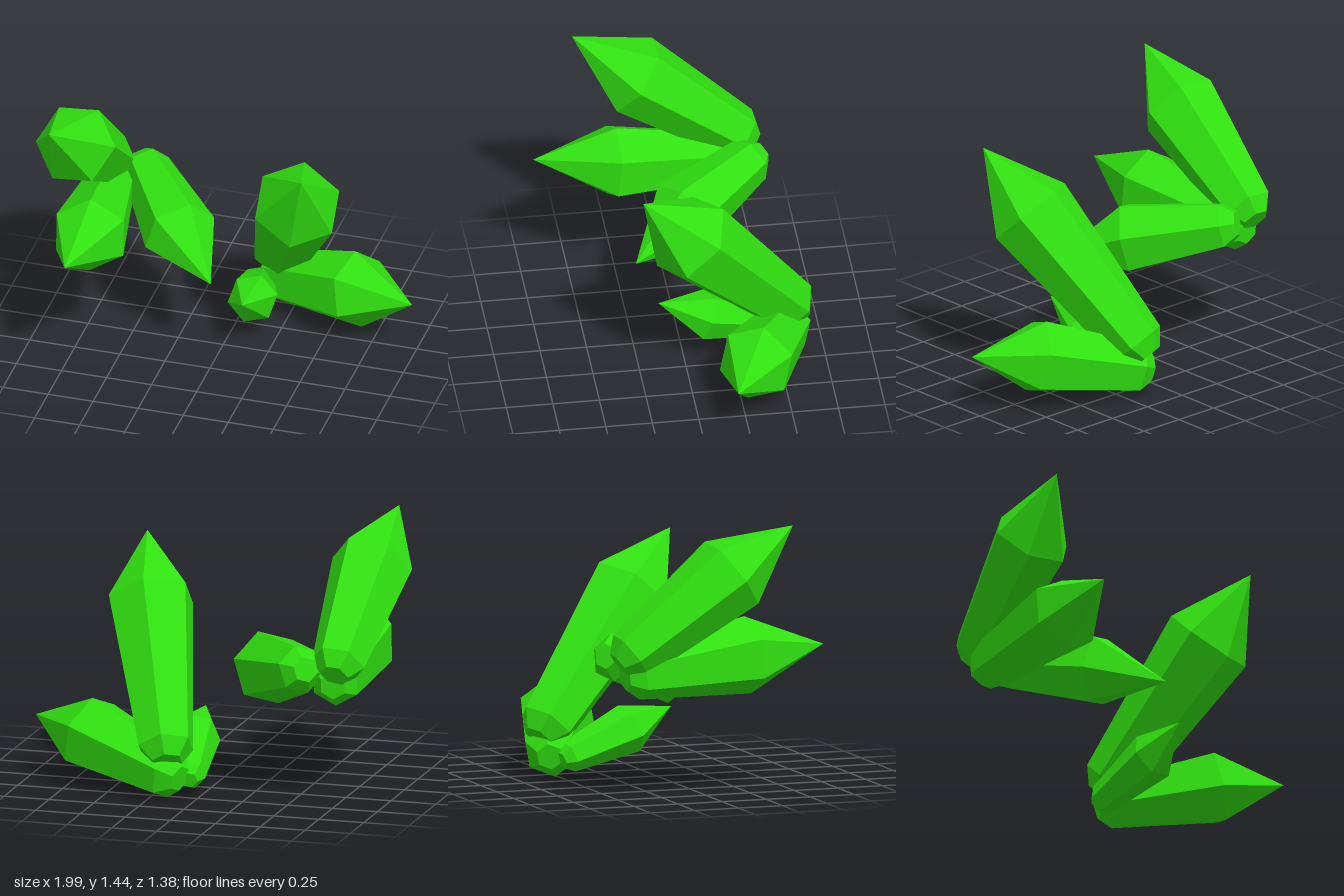
import * as THREE from 'three';

const green = new THREE.MeshStandardMaterial({ color: 0x30e010, flatShading: true });
green.name = 'crystal green';

// Six-sided crystal: blunt root, widening shaft, pointed tip.
// base and shoulder are the shaft's end centres; corner is one shoulder corner and sets the roll.
function crystal(name, { base, shoulder, tip, corner, radius, rootRadius }) {
  const b = new THREE.Vector3(...base);
  const axis = new THREE.Vector3(...shoulder).sub(b);
  const length = axis.length();
  axis.normalize();

  const out = new THREE.Vector3(...corner).sub(b);
  out.addScaledVector(axis, -out.dot(axis)).normalize();
  const side = new THREE.Vector3().crossVectors(axis, out);

  const profile = [
    [0, -0.36 * radius],
    [0.35 * radius, -0.36 * radius],
    [rootRadius, 0],
    [radius, length],
    [0, length + radius],
  ].map(([r, y]) => new THREE.Vector2(r, y));
  const geometry = new THREE.LatheGeometry(profile, 6);

  const mesh = new THREE.Mesh(geometry, green);
  mesh.name = name;
  mesh.quaternion.setFromRotationMatrix(new THREE.Matrix4().makeBasis(side, axis, out));
  mesh.position.copy(b);
  mesh.updateMatrixWorld();

  // Lean the apex over to the tip
  const apex = mesh.worldToLocal(new THREE.Vector3(...tip));
  const position = geometry.attributes.position;
  for (let i = profile.length - 1; i < position.count; i += profile.length) {
    position.setXYZ(i, apex.x, apex.y, apex.z);
  }
  geometry.computeVertexNormals();
  return mesh;
}

function cluster(name, crystals) {
  const group = new THREE.Group();
  group.name = name;
  for (const [part, spec] of Object.entries(crystals)) group.add(crystal(part, spec));
  return group;
}

export function createModel() {
  const model = new THREE.Group();
  model.name = 'crystals';

  // Lower cluster on the +x side
  model.add(cluster('leftCluster', {
    tallCrystal: {
      base: [0.155, 0.29, -0.57], shoulder: [0.41, 0.95, 0], tip: [0.51, 1.26, 0.265],
      corner: [0.6, 0.84, 0.04], radius: 0.24, rootRadius: 0.155,
    },
    sideCrystal: {
      base: [0.14, 0.145, -0.55], shoulder: [0.655, 0.278, -0.32], tip: [0.995, 0.32, -0.18],
      corner: [0.6, 0.48, -0.38], radius: 0.21, rootRadius: 0.145,
    },
    smallCrystal: {
      base: [0.05, 0.125, -0.48], shoulder: [0.13, 0.25, -0.11], tip: [0.145, 0.355, 0.135],
      corner: [0.165, 0.375, -0.17], radius: 0.135, rootRadius: 0.085,
    },
  }));

  // Raised cluster on the -x side
  model.add(cluster('rightCluster', {
    tallCrystal: {
      base: [-0.76, 0.78, -0.43], shoulder: [-0.78, 1.2, 0.135], tip: [-0.83, 1.445, 0.465],
      corner: [-0.56, 1.21, 0.12], radius: 0.22, rootRadius: 0.145,
    },
    frontCrystal: {
      base: [-0.73, 0.67, -0.38], shoulder: [-0.66, 0.735, 0.27], tip: [-0.675, 0.775, 0.695],
      corner: [-0.66, 0.94, 0.27], radius: 0.21, rootRadius: 0.135,
    },
    sideCrystal: {
      base: [-0.565, 0.745, -0.46], shoulder: [-0.255, 0.635, -0.045], tip: [0, 0.52, 0.235],
      corner: [-0.2, 0.82, -0.04], radius: 0.2, rootRadius: 0.13,
    },
  }));

  return model;
}
